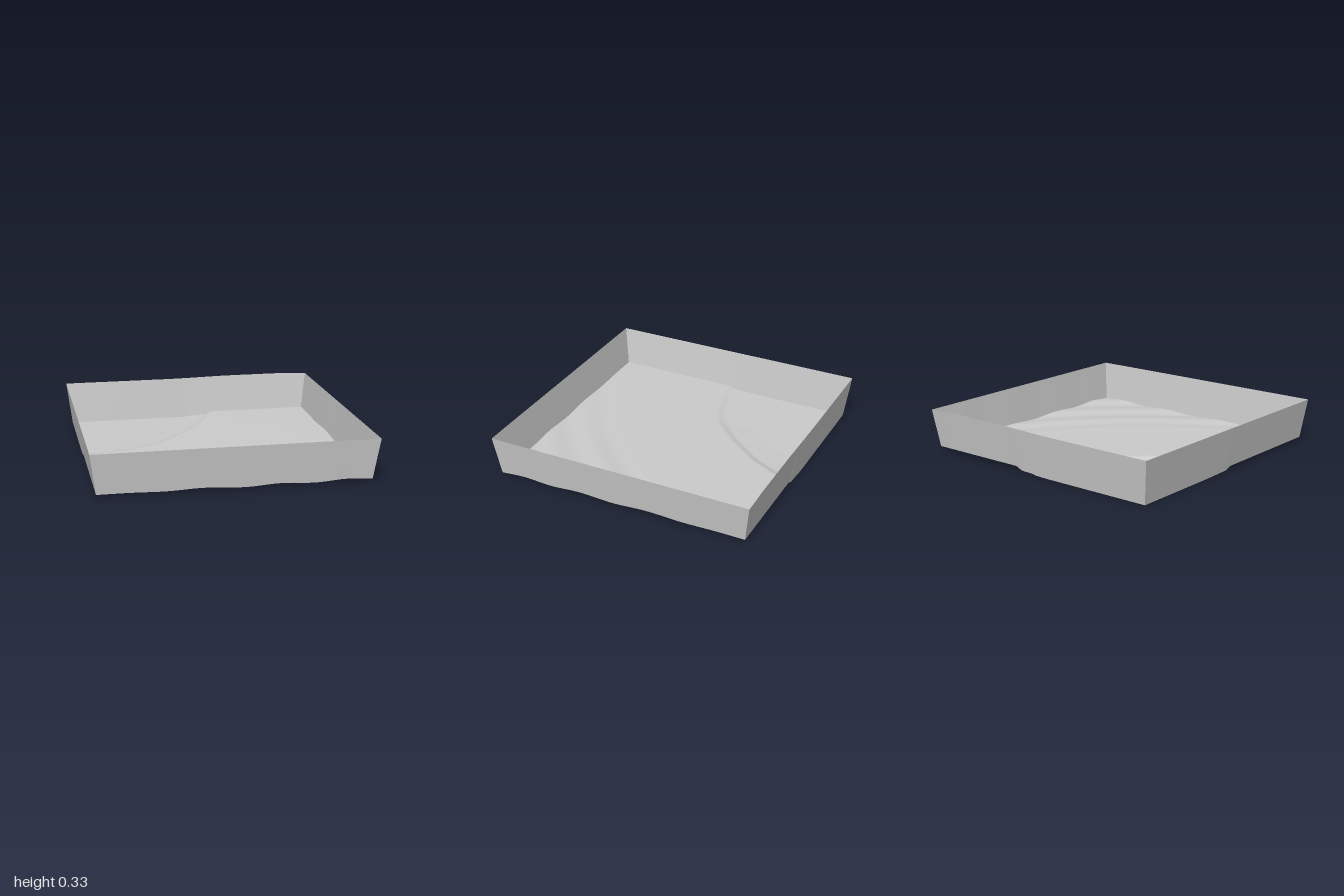
import * as THREE from 'three';

const INNER = 0.96, OUTER = 1, RIM = 0.32, SEG = 72;
const smooth = THREE.MathUtils.smoothstep;
const lerp = THREE.MathUtils.lerp;

// Line of the bank, as [x, z]: lower ground lies behind and left of it
const BANK = [[-1, 0], [-0.8, -0.02], [-0.6, -0.07], [-0.4, -0.16], [-0.2, -0.36], [0, -0.62], [0.16, -0.95], [1, -2.7]];

// Approximate signed distance from the bank line
function bankDistance(x, z) {
  let i = 0;
  while (i < BANK.length - 2 && x > BANK[i + 1][0]) i++;
  const [x0, z0] = BANK[i], [x1, z1] = BANK[i + 1];
  const slope = (z1 - z0) / (x1 - x0);
  return (z - z0 - slope * (x - x0)) / Math.hypot(1, slope);
}

// Height of the ground at any point
function groundHeight(x, z) {
  const s = x + z + 0.12 * (x - z) ** 2;
  const ripple = -0.006 * Math.cos((s - 1.53) * Math.PI * 2 / 0.42) * smooth(s, 0.4, 0.9);
  const upper = 0.026 + 0.012 * smooth(x - z, -1, 1.3) - 0.003 * smooth(s, 0.5, 1.2) + ripple;
  const d = bankDistance(x, z);
  const lower = 0.002 + 0.013 * smooth(d, -0.3, 0) * smooth(x, -1.6, 0.1);
  return lerp(lower, upper, smooth(d, -0.03, 0.025));
}

function rimHeight(x, z) {
  return RIM + 0.009 * smooth(x, -0.2, 0.4) * (1 - smooth(x, 0.75, 0.96)) * smooth(-z, -1.2, 0.6);
}

function mesh(name, geometry, material) {
  geometry.computeVertexNormals();
  const m = new THREE.Mesh(geometry, material);
  m.name = name;
  return m;
}

export function createModel() {
  const group = new THREE.Group();
  group.name = 'terrainTray';
  const grey = new THREE.MeshStandardMaterial({ color: 0xcccccc, side: THREE.DoubleSide });

  // Rolling ground sheet
  const floor = new THREE.PlaneGeometry(INNER * 2, INNER * 2, SEG, SEG).rotateX(-Math.PI / 2);
  const fp = floor.attributes.position;
  for (let i = 0; i < fp.count; i++) fp.setY(i, groundHeight(fp.getX(i), fp.getZ(i)));
  group.add(mesh('ground', floor, grey));

  ['frontWall', 'rightSideWall', 'backWall', 'leftSideWall'].forEach((name, k) => {
    const c = Math.round(Math.cos(k * Math.PI / 2)), s = Math.round(Math.sin(k * Math.PI / 2));
    const turn = (x, z) => [x * c + z * s, z * c - x * s];

    // Wall leaning outward from the ground edge to the rim
    const wall = new THREE.PlaneGeometry(INNER * 2, 1, SEG, 1);
    const p = wall.attributes.position;
    for (let i = 0; i < p.count; i++) {
      const top = p.getY(i) > 0;
      const [bx, bz] = turn(p.getX(i), INNER);
      const [x, z] = turn(p.getX(i), top ? OUTER : INNER);
      p.setXYZ(i, x, top ? rimHeight(bx, bz) : groundHeight(bx, bz), z);
    }
    group.add(mesh(name, wall, grey));

    // Narrow two-triangle corner joining this wall to the next
    const [ix, iz] = turn(INNER, INNER);
    const [ax, az] = turn(INNER, OUTER);
    const [bx, bz] = turn(OUTER, INNER);
    const [ox, oz] = turn(OUTER, OUTER);
    const y = groundHeight(ix, iz);
    const corner = new THREE.BufferGeometry();
    corner.setAttribute('position', new THREE.Float32BufferAttribute([
      ix, y, iz, ox, RIM, oz, ax, RIM, az,
      ix, y, iz, bx, RIM, bz, ox, RIM, oz,
    ], 3));
    group.add(mesh('corner' + (k + 1), corner, grey));
  });

  return group;
}
